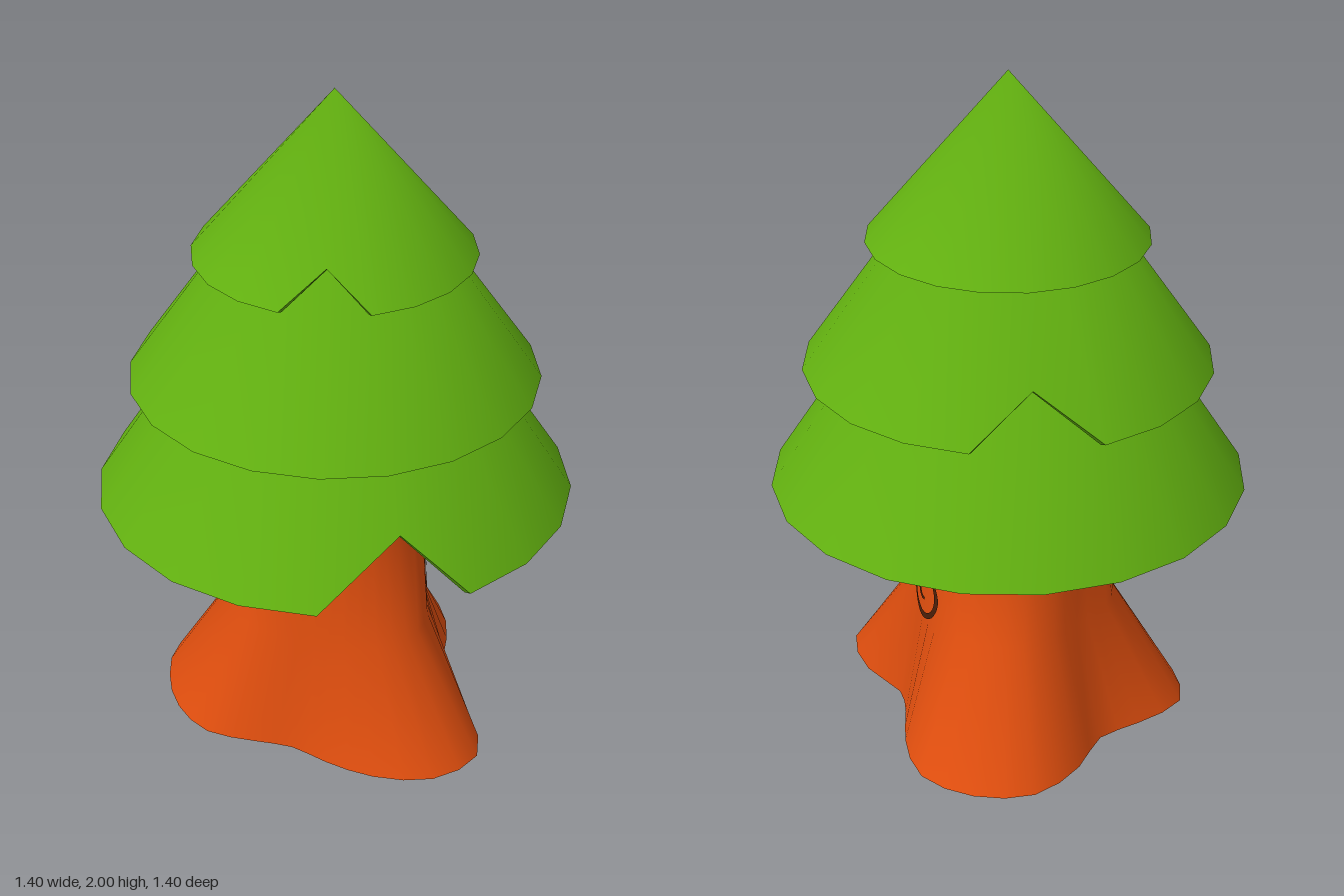
import * as THREE from 'three';

const foliage = new THREE.MeshStandardMaterial({ color: 0x62b010 });
foliage.name = 'leaf green';
const bark = new THREE.MeshStandardMaterial({ color: 0xe04e0e });
bark.name = 'orange bark';
const knot = new THREE.MeshStandardMaterial({ color: 0x4a1e08, side: THREE.DoubleSide });
knot.name = 'dark knot';

const SIDES = 20;

function makeGeometry(points, index) {
  const g = new THREE.BufferGeometry().setFromPoints(points);
  g.setIndex(index);
  g.computeVertexNormals();
  return g;
}

function addMesh(parent, name, geometry, material) {
  const mesh = new THREE.Mesh(geometry, material);
  mesh.name = name;
  parent.add(mesh);
  return mesh;
}

// Hollow cone with a thin rim; one rim vertex is pulled in and up as a notch
function foliageLayer(name, { radius, y, apex, notch, pull, lift }) {
  const layer = new THREE.Group();
  layer.name = name;
  const outer = [], inner = [];
  for (let i = 0; i < SIDES; i++) {
    const a = (i / SIDES) * Math.PI * 2;
    const p = new THREE.Vector3(Math.sin(a) * radius, y, Math.cos(a) * radius);
    if (i === notch) {
      p.z -= Math.sign(p.z) * pull;
      p.y += lift;
    }
    outer.push(p);
    const k = 1 - 0.028 / radius;
    inner.push(new THREE.Vector3(p.x * k, p.y - 0.012, p.z * k));
  }
  const skin = [], lining = [], rim = [];
  for (let i = 0; i < SIDES; i++) {
    const j = (i + 1) % SIDES;
    skin.push(i, j, SIDES);
    lining.push(j, i, SIDES);
    rim.push(SIDES + i, SIDES + j, j, SIDES + i, j, i);
  }
  const top = new THREE.Vector3(0, apex, 0);
  const innerTop = new THREE.Vector3(0, apex - 0.05, 0);
  const flat = (points, index) => {
    const g = makeGeometry(points, index).toNonIndexed();
    g.computeVertexNormals();
    return g;
  };
  addMesh(layer, name + 'Outside', makeGeometry([...outer, top], skin), foliage);
  addMesh(layer, name + 'Inside', flat([...inner, innerTop], lining), foliage);
  addMesh(layer, name + 'Rim', flat([...outer, ...inner], rim), foliage);
  return layer;
}

// Trunk with three spreading roots, lofted from a lobed base to a round top
function makeTrunk() {
  const trunk = new THREE.Group();
  trunk.name = 'trunk';
  // Base radii every 18 degrees, from +x towards +z
  const radii = [0.34, 0.45, 0.56, 0.55, 0.47, 0.39, 0.345, 0.38, 0.46, 0.5,
    0.525, 0.54, 0.45, 0.4, 0.48, 0.57, 0.58, 0.54, 0.43, 0.35];
  const outline = new THREE.CatmullRomCurve3(radii.map((r, i) => {
    const a = (i / radii.length) * Math.PI * 2;
    return new THREE.Vector3(Math.cos(a) * r, 0, Math.sin(a) * r);
  }), true);
  const n = 40;
  const base = Array.from({ length: n }, (_, i) => outline.getPoint(i / n));
  // Each level: height, mean radius, how much of the root lobes remains
  const levels = [[0, 0.45, 1], [0.35, 0.303, 0.2], [0.76, 0.263, 0.05], [1.35, 0.225, 0]];
  const points = [], index = [];
  levels.forEach(([y, mean, lobes], row) => {
    base.forEach((p, i) => {
      const r = p.length();
      const k = (mean + (r - 0.45) * lobes) / r;
      points.push(new THREE.Vector3(p.x * k, y, p.z * k));
      if (row === 0) return;
      const j = (i + 1) % n, lo = (row - 1) * n, hi = row * n;
      index.push(lo + j, lo + i, hi + i, lo + j, hi + i, hi + j);
    });
  });
  const side = addMesh(trunk, 'trunkSide', makeGeometry(points, index), bark);

  const cap = [];
  for (let i = 0; i < n; i++) cap.push(n, i, (i + 1) % n);
  addMesh(trunk, 'trunkBase', makeGeometry([...base, new THREE.Vector3()], cap), bark);

  addMesh(trunk, 'spiralKnot', makeSpiral(side), knot);
  return trunk;
}

// Thin spiral ribbon laid on the left side of the trunk
function makeSpiral(surface) {
  const ray = new THREE.Raycaster();
  const towards = new THREE.Vector3(-1, 0, 0);
  const points = [], index = [];
  const steps = 60;
  for (let i = 0; i <= steps; i++) {
    const t = i / steps;
    const a = THREE.MathUtils.degToRad(75 + 560 * t);
    const r = 0.105 - 0.075 * Math.pow(t, 1.2);
    const half = 0.009 * Math.min(1, 0.5 + 5 * Math.min(t, 1 - t));
    for (const w of [-half, half]) {
      const z = -0.1 - Math.cos(a) * (r + w);
      const y = 0.43 + Math.sin(a) * (r + w);
      ray.set(new THREE.Vector3(2, y, z), towards);
      const hit = ray.intersectObject(surface)[0];
      points.push(new THREE.Vector3((hit ? hit.point.x : 0.28) + 0.005, y, z));
    }
    if (i < steps) {
      const k = i * 2;
      index.push(k, k + 1, k + 3, k, k + 3, k + 2);
    }
  }
  return makeGeometry(points, index);
}

export function createModel() {
  const tree = new THREE.Group();
  tree.name = 'tree';
  tree.add(
    makeTrunk(),
    foliageLayer('lowerFoliage', { radius: 0.7, y: 0.765, apex: 1.84, notch: 1, pull: 0.116, lift: 0.17 }),
    foliageLayer('middleFoliage', { radius: 0.595, y: 1.135, apex: 1.99, notch: 10, pull: 0.115, lift: 0.13 }),
    foliageLayer('topFoliage', { radius: 0.405, y: 1.518, apex: 2, notch: 0, pull: 0.095, lift: 0.095 }),
  );
  return tree;
}
